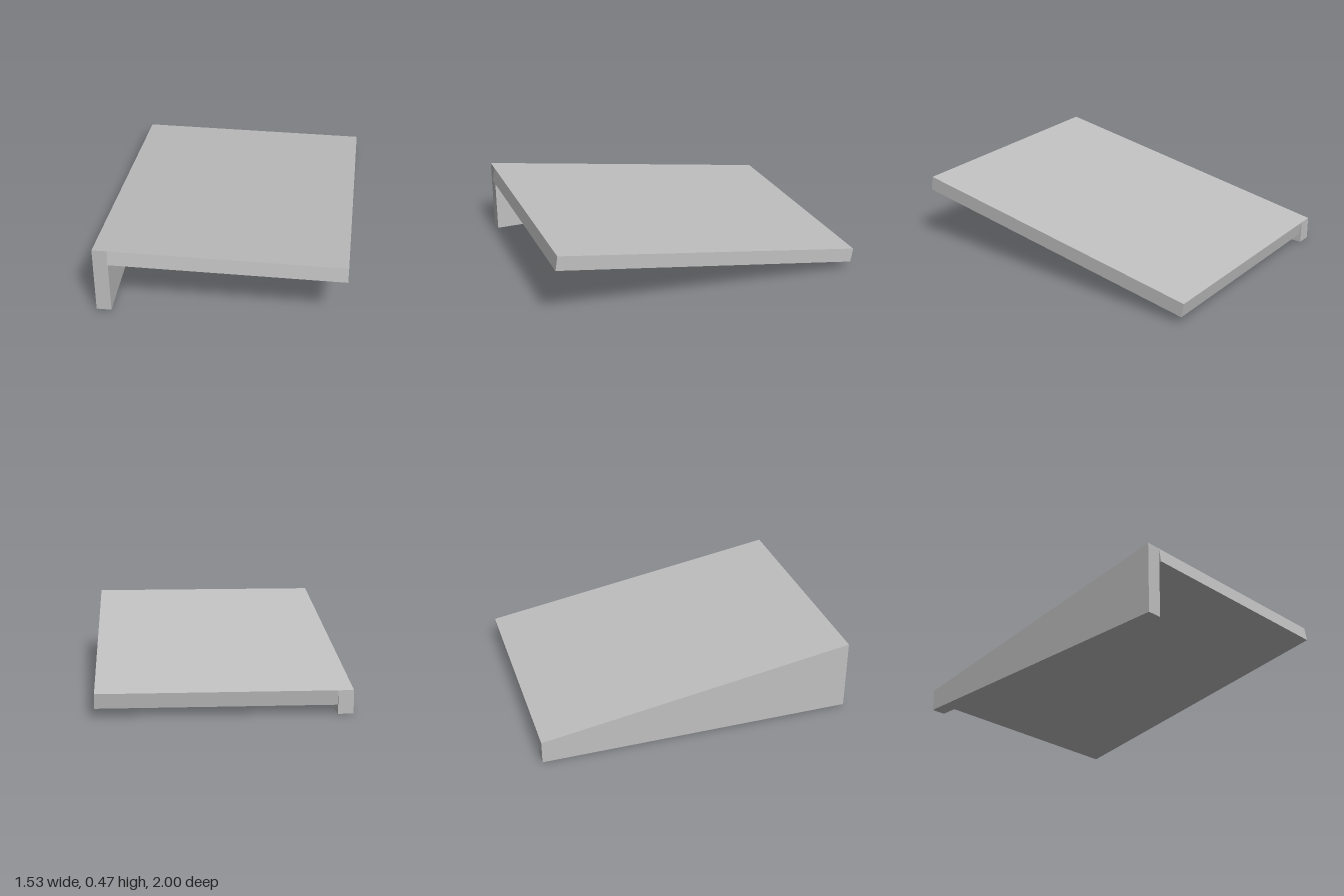
import * as THREE from 'three';

// Extrude a (z, y) side profile along x from x0 to x1
function sideExtrusion(name, profile, x0, x1, material) {
  const shape = new THREE.Shape(profile.map(([z, y]) => new THREE.Vector2(-z, y)));
  const geometry = new THREE.ExtrudeGeometry(shape, { depth: x1 - x0, bevelEnabled: false });
  geometry.rotateY(Math.PI / 2);
  geometry.translate(x0, 0, 0);
  const mesh = new THREE.Mesh(geometry, material);
  mesh.name = name;
  return mesh;
}

export function createModel() {
  const group = new THREE.Group();
  group.name = 'slopedPanel';
  const grey = new THREE.MeshStandardMaterial({ color: 0xc0c0c0 });
  grey.name = 'light grey';

  // Tilted slab, with ends square to its slope
  group.add(sideExtrusion('slopedSlab',
    [[1, 0.376], [0.985, 0.468], [-1, 0.143], [-0.985, 0.052]], -0.672, 0.765, grey));

  // Tapered wall along one side, flush with the top of the slab
  group.add(sideExtrusion('sideWall',
    [[0.985, 0.015], [0.985, 0.468], [-1, 0.143], [-1, 0]], -0.765, -0.672, grey));

  return group;
}
